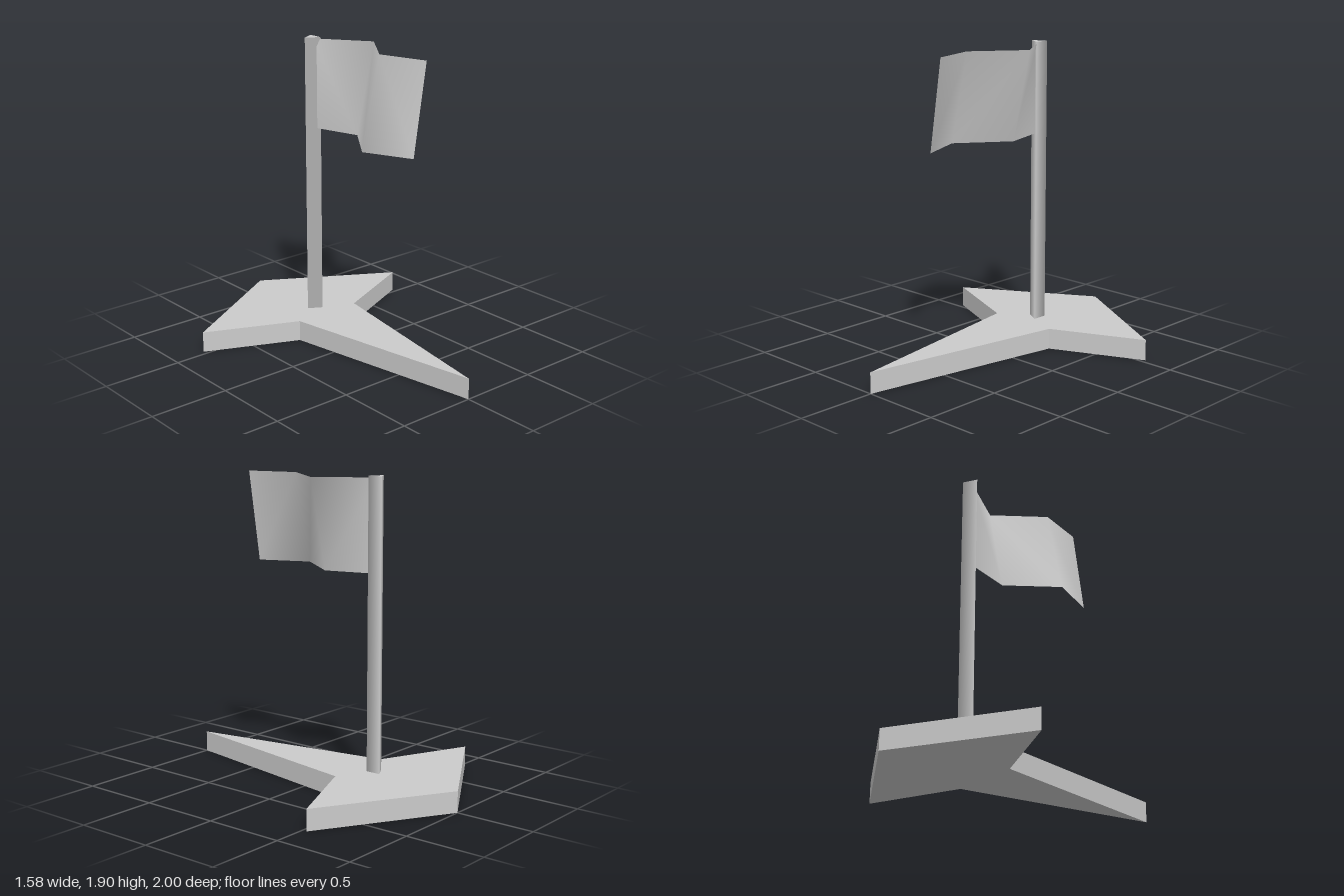
import * as THREE from 'three';

const material = new THREE.MeshStandardMaterial({ color: 0xcccccc });
const flatMaterial = new THREE.MeshStandardMaterial({ color: 0xcccccc, flatShading: true });
const sheetMaterial = new THREE.MeshStandardMaterial({ color: 0xcccccc, side: THREE.DoubleSide });

function addPart(group, name, geometry, mat) {
  const mesh = new THREE.Mesh(geometry, mat);
  mesh.name = name;
  group.add(mesh);
  return mesh;
}

// Arrow-shaped slab: half outline as [x, z], mirrored across x = 0
function baseGeometry() {
  const half = [[0.79, -0.53], [0.225, -0.28]];
  const mirrored = half.map(([x, z]) => [-x, z]).reverse();
  const outline = [[0, -1], ...half, [0, 1], ...mirrored];
  const shape = new THREE.Shape(outline.map(([x, z]) => new THREE.Vector2(x, -z)));
  return new THREE.ExtrudeGeometry(shape, { depth: 0.13, bevelEnabled: false }).rotateX(-Math.PI / 2);
}

// Zigzag sheet: each column is [bottom x, top x, z]
function flagGeometry() {
  const columns = [[0, 0, -0.4], [0.09, 0.22, -0.09], [-0.13, 0, 0.21], [0, 0.09, 0.51]];
  const positions = [];
  const index = [];
  columns.forEach(([bottom, top, z], i) => {
    positions.push(bottom, 1.33, z, top, 1.89, z);
    if (i > 0) {
      const a = 2 * (i - 1);
      index.push(a, a + 1, a + 2, a + 1, a + 3, a + 2);
    }
  });
  const geometry = new THREE.BufferGeometry();
  geometry.setAttribute('position', new THREE.Float32BufferAttribute(positions, 3));
  geometry.setIndex(index);
  geometry.computeVertexNormals();
  return geometry;
}

export function createModel() {
  const group = new THREE.Group();
  group.name = 'flagMarker';

  addPart(group, 'base', baseGeometry(), flatMaterial);

  // Three-sided pole with one edge pointing to -x
  const pole = new THREE.CylinderGeometry(0.055, 0.055, 1.8, 3, 1, false, -Math.PI / 2);
  addPart(group, 'pole', pole, material).position.set(0, 1.0, -0.41);

  addPart(group, 'flag', flagGeometry(), sheetMaterial);
  return group;
}
